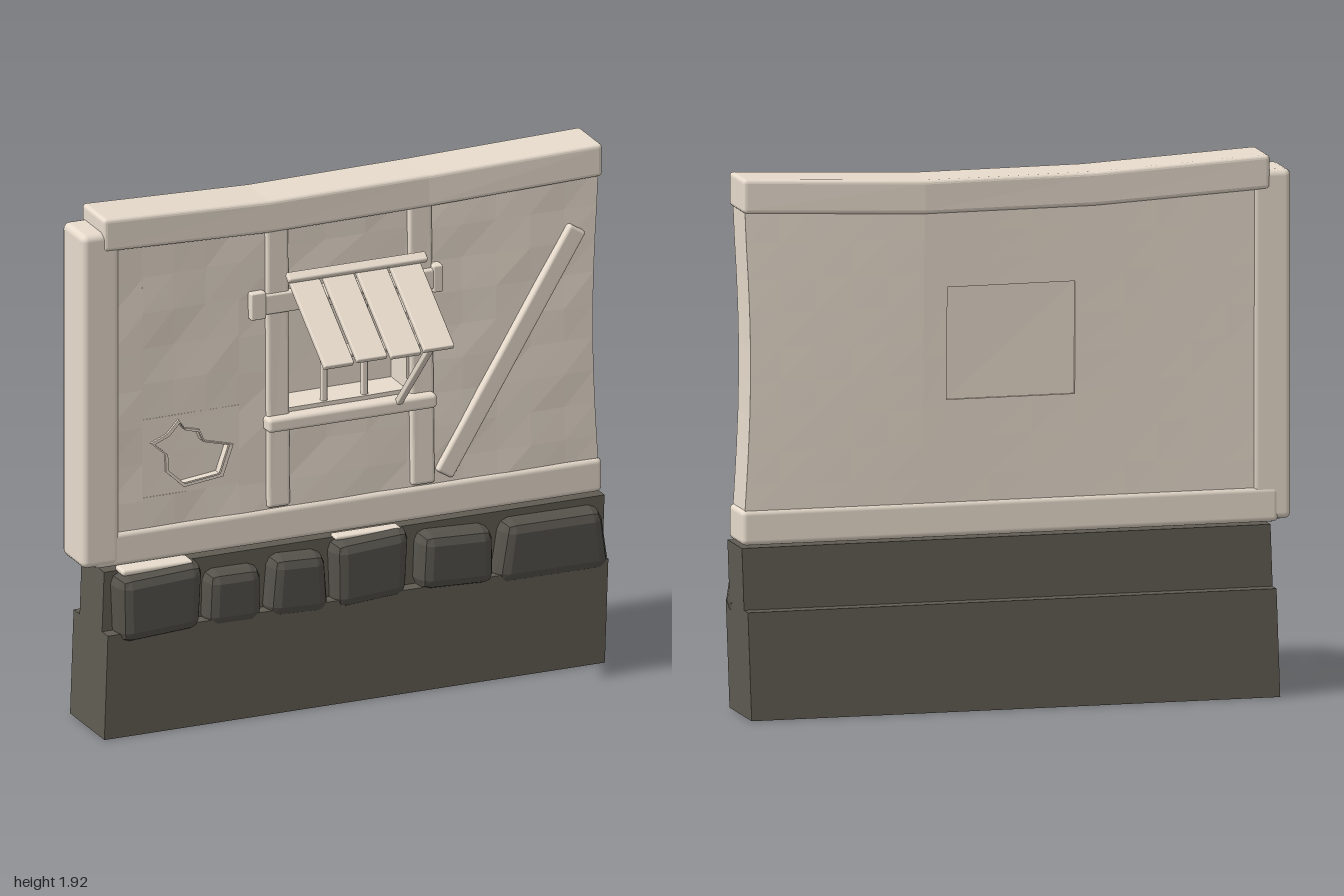
import * as THREE from 'three';
import { RoundedBoxGeometry } from 'three/addons/geometries/RoundedBoxGeometry.js';

const paint = (name, color) => Object.assign(new THREE.MeshStandardMaterial({ color }), { name });

// Piecewise linear interpolation through [x, value] points
function ramp(points, x) {
  for (let i = 1; i < points.length; i++) {
    const [a, va] = points[i - 1], [b, vb] = points[i];
    if (x <= b || i === points.length - 1) return va + (vb - va) * (x - a) / (b - a);
  }
}
const sag = x => ramp([[-0.92, 0.03], [-0.28, 0], [0.34, 0], [0.99, 0.026]], x);
const lean = (x, y) => ramp([[-0.92, 0], [0.34, 0.029], [0.99, 0.002]], x) * Math.max(0, (y - 0.7) / 1.1);

// Moves every vertex by a rule, then refreshes the normals
function bend(geo, rule) {
  const p = geo.attributes.position, v = new THREE.Vector3();
  for (let i = 0; i < p.count; i++) {
    rule(v.fromBufferAttribute(p, i));
    p.setXYZ(i, v.x, v.y, v.z);
  }
  geo.computeVertexNormals();
  return geo;
}
const leanBack = v => { v.z -= lean(v.x, v.y); };

export function createModel() {
  const model = new THREE.Group();
  model.name = 'wallSection';
  const plaster = paint('warm beige', 0xe7dbcc);
  const plinthGrey = paint('plinth grey', 0x605c53);
  const stoneGrey = paint('stone grey', 0x56534c);
  const underside = paint('underside black', 0x363636);

  const add = (name, geo, mat, parent = model) => {
    const mesh = new THREE.Mesh(geo, mat);
    mesh.name = name;
    parent.add(mesh);
    return mesh;
  };
  // Box or rounded box between two corners
  const slab = (x0, x1, y0, y1, z0, z1, r = 0, sx = 1, sy = 1) => {
    const size = [x1 - x0, y1 - y0, z1 - z0];
    const geo = r ? new RoundedBoxGeometry(...size, 2, r)
      : new THREE.BoxGeometry(...size, sx, sy, 1).toNonIndexed();
    return geo.translate((x0 + x1) / 2, (y0 + y1) / 2, (z0 + z1) / 2);
  };
  // Squared rod between two points
  const rod = (name, a, b, w, d, r) => {
    const from = new THREE.Vector3(...a), to = new THREE.Vector3(...b);
    const mesh = add(name, new RoundedBoxGeometry(w, from.distanceTo(to), d, 2, r), plaster);
    mesh.position.copy(from).lerp(to, 0.5);
    mesh.quaternion.setFromUnitVectors(new THREE.Vector3(0, 1, 0), to.sub(from).normalize());
  };

  // Stepped plinth, slightly skewed, with a dark bottom face
  const skew = v => { v.x += 0.035 * v.y; };
  const baseFaces = [0, 1, 2, 3, 4, 5].map(i => (i === 3 ? underside : plinthGrey));
  add('plinthBase', bend(slab(-0.94, 0.975, 0, 0.385, -0.305, -0.01), skew), baseFaces);
  add('plinthUpper', bend(slab(-0.94, 0.975, 0.385, 0.605, -0.253, -0.06), skew), plinthGrey);

  // Rough stones along the ledge: x0, x1, y0, y1, front
  const stones = [
    [-0.895, -0.565, 0.355, 0.608, 0.032], [-0.55, -0.33, 0.35, 0.56, 0.008],
    [-0.31, -0.08, 0.35, 0.578, 0.012], [-0.065, 0.23, 0.355, 0.61, 0.016],
    [0.26, 0.555, 0.365, 0.58, 0.022], [0.565, 0.992, 0.345, 0.58, 0.012],
  ];
  stones.forEach(([x0, x1, y0, y1, front], i) => {
    const cx = (x0 + x1) / 2, cy = (y0 + y1) / 2, back = -0.1;
    const geo = new RoundedBoxGeometry(x1 - x0, y1 - y0, front - back, 1, 0.04);
    geo.translate(cx, cy, (front + back) / 2);
    add('stone', bend(geo, v => {
      const t = (v.z - back) / (front - back), dx = v.x - cx, dy = v.y - cy;
      v.x = cx + dx * (1 - 0.08 * t) * (1 - 0.5 * dy * ((i % 3) - 0.5));
      v.y = cy + dy * (1 - 0.04 * t) + 0.06 * dx * Math.sin(i * 2.3 + 1);
      v.z -= 0.09 * t * Math.max(0, -dy);
    }), stoneGrey);
  });
  add('mortarLump', slab(-0.87, -0.6, 0.597, 0.62, -0.08, -0.008, 0.01), plaster);
  add('mortarLump', slab(-0.045, 0.205, 0.6, 0.615, -0.08, -0.03, 0.007), plaster);

  // Wall panels around the window opening and the broken patch
  const wallRule = v => {
    const t = (v.y - 0.7) / 1.08;
    if (v.z > -0.1 && v.x < 0.9) v.z += 0.003 * Math.sin(v.x * 13 + v.y * 9) * Math.sin(v.y * 17 - v.x * 5);
    if (v.x > 0.9) v.x -= 0.022 * Math.sin(Math.PI * Math.min(1, Math.max(0, t)));
    if (v.y > 1.7) v.y += sag(v.x);
    leanBack(v);
  };
  for (const [x0, x1, y0, y1, sx, sy, front = -0.085] of [
    [0.255, 0.34, 0.7, 1.8, 1, 6], [0.34, 0.985, 0.7, 1.8, 5, 9],
    [-0.21, 0.255, 0.7, 1.1, 3, 3], [-0.21, 0.255, 1.5, 1.8, 3, 3],
    [-0.9, -0.76, 0.7, 1.8, 1, 8], [-0.39, -0.21, 0.7, 1.8, 1, 8],
    [-0.76, -0.39, 0.7, 0.85, 3, 1], [-0.76, -0.39, 1.14, 1.8, 3, 5],
    [-0.76, -0.39, 0.85, 1.14, 3, 2, -0.115],
  ]) add('wallPanel', bend(slab(x0, x1, y0, y1, -0.245, front, 0, sx, sy), wallRule), plaster);
  add('windowBack', bend(slab(-0.21, 0.255, 1.1, 1.5, -0.236, -0.22), leanBack), plaster);

  // Broken plaster patch with its raised lip
  const points = list => list.map(p => new THREE.Vector2(...p));
  const patch = points([[-0.732, 1.05], [-0.67, 1.075], [-0.625, 1.123], [-0.6, 1.088], [-0.545, 1.075],
    [-0.525, 1.03], [-0.415, 1.0], [-0.455, 0.887], [-0.605, 0.87], [-0.674, 0.935], [-0.676, 1.0]]);
  const mid = new THREE.Vector2(-0.575, 0.99);
  const inner = patch.map(p => p.clone().lerp(mid, 0.1));
  const cut = (outline, hole, z, depth) => {
    const shape = new THREE.Shape(outline);
    shape.holes.push(new THREE.Path(hole));
    const geo = new THREE.ExtrudeGeometry(shape, { depth, bevelEnabled: false });
    return bend(geo.translate(0, 0, z), leanBack);
  };
  const coat = points([[-0.76, 0.85], [-0.39, 0.85], [-0.39, 1.14], [-0.76, 1.14]]);
  add('plasterCoat', cut(coat, inner, -0.117, 0.032), plaster);
  add('patchLip', cut(patch, inner, -0.09, 0.014), plaster);

  // Outer timbers; the top beam pieces overlap by their edge radius to meet flush
  add('bottomBeam', slab(-0.95, 0.996, 0.612, 0.738, -0.255, -0.073, 0.02), plaster);
  add('leftPost', slab(-0.997, -0.853, 0.62, 1.862, -0.252, -0.068, 0.025), plaster);
  for (const [x0, x1] of [[-0.917, -0.266], [-0.294, 0.354], [0.326, 0.992]]) {
    add('topBeam', bend(slab(x0, x1, 1.765, 1.886, -0.258, -0.063, 0.014), v => {
      v.y += sag(v.x);
      leanBack(v);
    }), plaster);
  }

  // Window frame
  for (const [x0, x1] of [[-0.287, -0.2], [0.264, 0.354]])
    add('windowPost', bend(slab(x0, x1, 0.743, 1.782, -0.13, -0.068, 0.012), leanBack), plaster);
  add('windowSill', slab(-0.297, 0.35, 1.032, 1.085, -0.12, -0.04, 0.015), plaster);
  add('windowLintel', slab(-0.315, 0.36, 1.465, 1.54, -0.13, -0.07, 0.008), plaster);
  for (const [x0, x1] of [[-0.352, -0.295], [0.345, 0.383]])
    add('lintelEnd', slab(x0, x1, 1.453, 1.553, -0.13, -0.066, 0.006), plaster);
  for (const x of [-0.055, 0.1])
    add('windowBar', slab(x - 0.011, x + 0.011, 1.06, 1.52, -0.125, -0.103, 0.004), plaster);

  // Diagonal brace
  rod('diagonalBrace', [0.388, 0.768, -0.09], [0.9, 1.61, -0.09], 0.073, 0.05, 0.012);

  // Plank shutter propped open: local y runs up the slope, local z faces outward
  const shutter = new THREE.Group();
  shutter.name = 'shutter';
  shutter.position.set(0, 1.496, 0.136);
  shutter.rotation.x = -Math.atan2(0.305, 0.22);
  model.add(shutter);
  [[-0.235, -0.122], [-0.108, 0.008], [0.02, 0.136], [0.148, 0.264]].forEach(([x0, x1], i) =>
    add('shutterPlank', slab(x0, x1, -0.197 + 0.006 * (i % 2), 0.185, -0.01, 0.012, 0.005), plaster, shutter));
  add('shutterTopRail', slab(-0.245, 0.288, 0.165, 0.203, 0.008, 0.032, 0.008), plaster, shutter);
  for (const y of [-0.125, 0.125])
    add('shutterBatten', slab(-0.215, 0.245, y - 0.025, y + 0.025, -0.03, -0.008, 0.006), plaster, shutter);
  rod('shutterProp', [0.205, 1.065, -0.06], [0.195, 1.392, 0.258], 0.024, 0.024, 0.005);

  return model;
}
